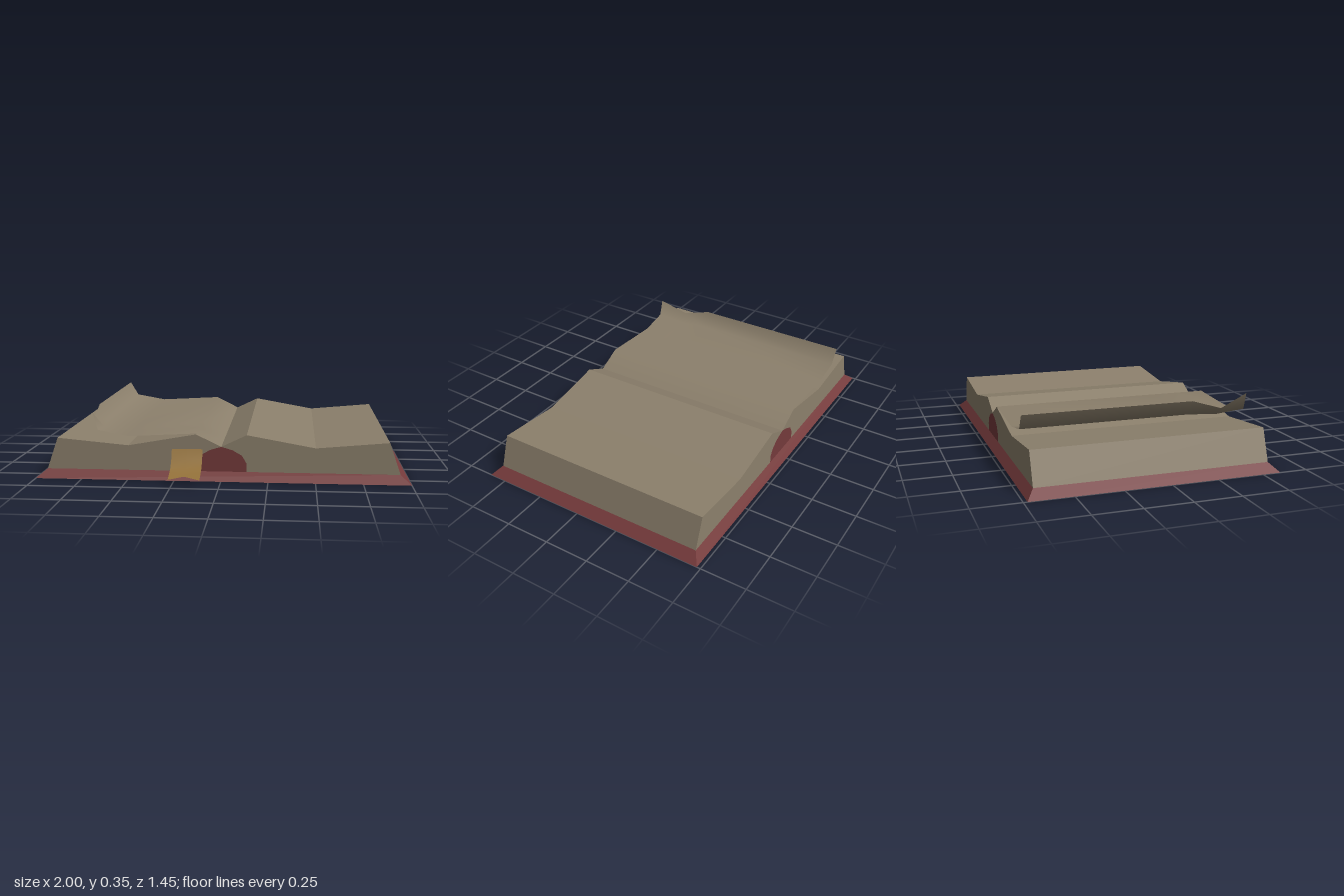
import * as THREE from 'three';

const BACK = -0.69, FRONT = 0.555;

export function createModel() {
  const group = new THREE.Group();
  group.name = 'openBook';

  const material = (name, color, side = THREE.FrontSide) =>
    new THREE.MeshStandardMaterial({ name, color, side });
  const leather = material('red leather', 0x743a3b);
  const paper = material('aged paper', 0x8c806c, THREE.DoubleSide);
  const gold = material('gold ribbon', 0x94723a, THREE.DoubleSide);

  const add = (name, geometry, mat) => {
    const mesh = new THREE.Mesh(geometry, mat);
    mesh.name = name;
    group.add(mesh);
    return mesh;
  };

  // Extrude an outline in x and y along the length of the book
  const prism = (points) => {
    const shape = new THREE.Shape(points.map(([x, y]) => new THREE.Vector2(x, y)));
    const geometry = new THREE.ExtrudeGeometry(shape, { depth: FRONT - BACK, bevelEnabled: false });
    return geometry.translate(0, 0, BACK);
  };

  // Join equal rows of points into one smooth sheet
  const sheet = (rows) => {
    const cols = rows[0].length, index = [];
    for (let r = 0; r < rows.length - 1; r++) {
      for (let c = 0; c < cols - 1; c++) {
        const a = r * cols + c, b = a + cols;
        index.push(a, b, a + 1, b, b + 1, a + 1);
      }
    }
    const geometry = new THREE.BufferGeometry();
    geometry.setAttribute('position', new THREE.Float32BufferAttribute(rows.flat(2), 3));
    geometry.setIndex(index);
    geometry.computeVertexNormals();
    return geometry;
  };

  // Cover: a slab whose rim slopes in to the pages
  const cover = new THREE.BoxGeometry(2, 0.045, 1.33).translate(0, 0.0225, -0.065);
  const p = cover.attributes.position;
  for (let i = 0; i < p.count; i++) {
    if (p.getY(i) > 0.02) {
      p.setX(i, Math.sign(p.getX(i)) * 0.945);
      p.setZ(i, p.getZ(i) > 0 ? FRONT : BACK);
    }
  }
  cover.computeVertexNormals();
  add('cover', cover, leather);

  // Arched spine between the two page blocks
  const arch = [[0.135, 0.045], [0.135, 0.09], [0.11, 0.133], [0.06, 0.162], [0, 0.18]];
  const mirrorX = (points) => points.map(([x, y]) => [-x, y]);
  add('spine', prism([...arch, ...mirrorX(arch).reverse().slice(1)]), leather);

  // Page blocks, one on each side of the spine
  const block = [...arch, [0.135, 0.245], [0.5, 0.18], [0.885, 0.215], [0.945, 0.045]];
  add('leftPages', prism(block), paper);
  add('rightPages', prism(mirrorX(block)), paper);

  // Loose page lifting off the right block, with a bent front corner
  const inner = [[0, 0.182], [-0.135, 0.25], [-0.5, 0.23]];
  const curls = [
    [BACK, [-0.68, 0.262], [-0.73, 0.345]],
    [0.22, [-0.68, 0.262], [-0.73, 0.345]],
    [0.39, [-0.665, 0.247], [-0.723, 0.293]],
    [FRONT, [-0.663, 0.262], [-0.69, 0.355]],
  ];
  add('loosePage', sheet(curls.map(([z, ...curl]) =>
    [...inner, ...curl].reverse().map(([x, y]) => [x, y, z]))), paper);

  // Ribbon bookmark hanging over the front edge, with a notched end
  const drop = [[0.165, 0.555], [0.115, 0.58], [0.075, 0.615], [0.058, 0.655], [0.037, 0.72]];
  add('ribbon', sheet(drop.map(([y, z], i) => {
    const notch = i === drop.length - 1;
    return [
      [-0.265, y, z],
      [-0.183, notch ? 0.047 : y, notch ? 0.687 : z],
      [-0.1, y, z],
    ];
  })), gold);

  return group;
}
